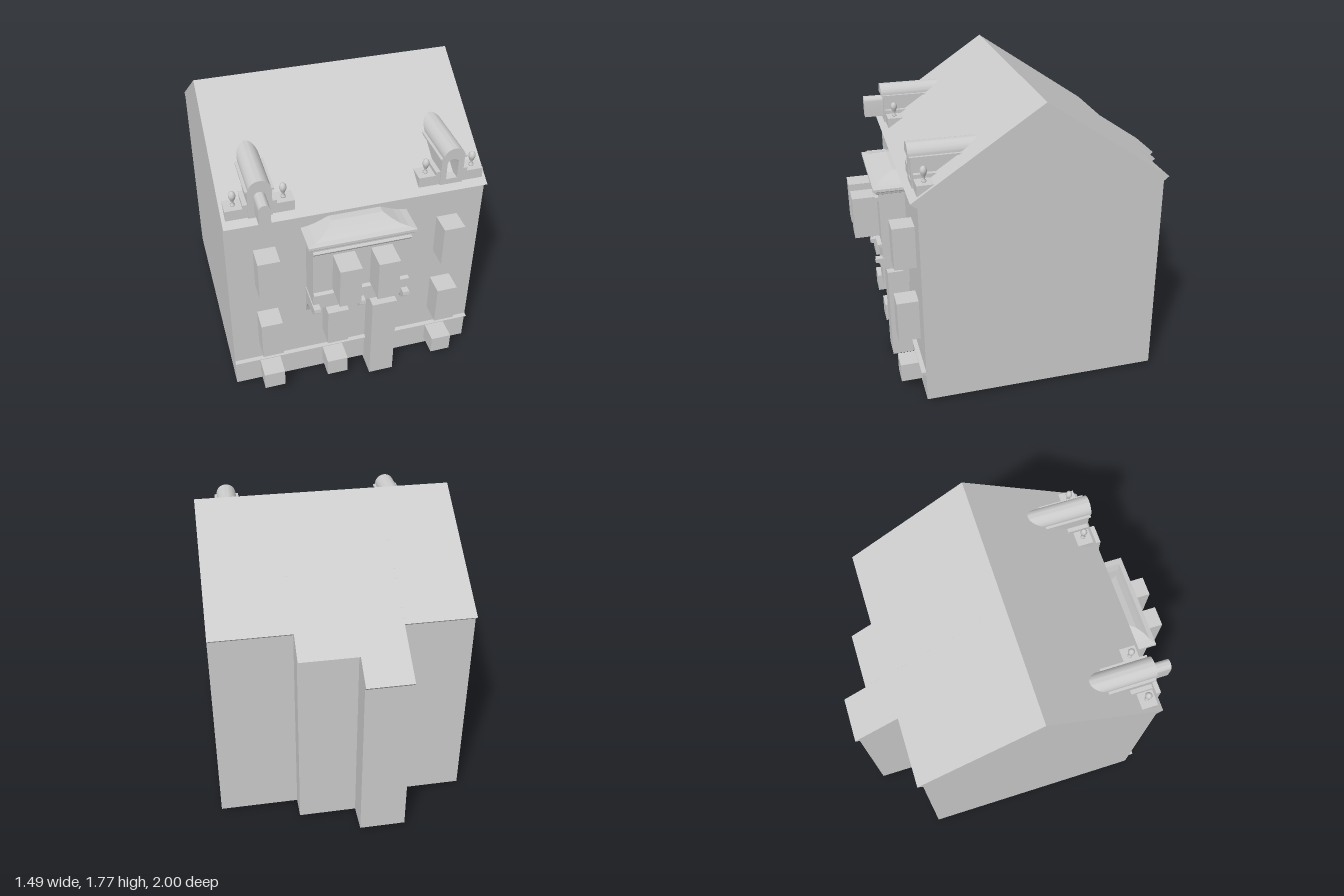
import * as THREE from 'three';
import { toCreasedNormals } from 'three/addons/utils/BufferGeometryUtils.js';

const stone = new THREE.MeshStandardMaterial({ color: 0xcccccc });
stone.name = 'lightGreyStone';

const WALL = 0.706;

function add(parent, name, geometry) {
  const mesh = new THREE.Mesh(geometry, stone);
  mesh.name = name;
  parent.add(mesh);
  return mesh;
}

// Box given by its limits
function block(parent, name, x0, x1, y0, y1, z0, z1) {
  const m = add(parent, name, new THREE.BoxGeometry(x1 - x0, y1 - y0, z1 - z0));
  m.position.set((x0 + x1) / 2, (y0 + y1) / 2, (z0 + z1) / 2);
  return m;
}

// Side profile of [z, y] points, extruded across x
function sideProfile(parent, name, points, x0, x1) {
  const shape = new THREE.Shape(points.map(([z, y]) => new THREE.Vector2(z, y)));
  const g = new THREE.ExtrudeGeometry(shape, { depth: x1 - x0, bevelEnabled: false });
  g.rotateY(-Math.PI / 2).translate(x1, 0, 0);
  return add(parent, name, g);
}

// Front outline extruded along z
function frontProfile(parent, name, shape, z0, z1) {
  const g = new THREE.ExtrudeGeometry(shape, { depth: z1 - z0, bevelEnabled: false, curveSegments: 20 });
  g.translate(0, 0, z0);
  return add(parent, name, toCreasedNormals(g, 0.5));
}

// Thin moulding with a slanted underside
function moulding(parent, name, y0, y1, z, out, x0, x1) {
  sideProfile(parent, name, [[z - 0.02, y0], [z, y0], [z + out, y1], [z + out, y1 + 0.004], [z - 0.02, y1 + 0.008]], x0, x1);
}

// Stacked rectangles [x0, x1, frontZ, y] joined into one flat-faced solid
function rectLoft(sections, backZ) {
  const pos = [];
  const ring = ([x0, x1, z, y]) => [[x0, y, z], [x1, y, z], [x1, y, backZ], [x0, y, backZ]];
  const quad = (a, b, c, d) => pos.push(...a, ...b, ...c, ...a, ...c, ...d);
  const rings = sections.map(ring);
  for (let i = 0; i + 1 < rings.length; i++) {
    for (let k = 0; k < 4; k++) {
      const n = (k + 1) % 4;
      quad(rings[i][k], rings[i][n], rings[i + 1][n], rings[i + 1][k]);
    }
  }
  quad(...rings[0].slice().reverse());
  quad(...rings[rings.length - 1]);
  const g = new THREE.BufferGeometry();
  g.setAttribute('position', new THREE.Float32BufferAttribute(pos, 3));
  g.computeVertexNormals();
  return g;
}

// Round-headed opening outline
function archOutline(Type) {
  const s = new Type();
  s.moveTo(-0.032, 1.345);
  s.lineTo(0.032, 1.345);
  s.lineTo(0.032, 1.443);
  s.absarc(0, 1.443, 0.032, 0, Math.PI, false);
  s.closePath();
  return s;
}

function rectShape(w, y0, y1) {
  return new THREE.Shape([[-w, y0], [w, y0], [w, y1], [-w, y1]].map(p => new THREE.Vector2(...p)));
}

function makeDormer(x, recessed) {
  const d = new THREE.Group();
  d.name = recessed ? 'leftDormer' : 'rightDormer';
  d.position.x = x;

  // Parapet and stepped plinth
  block(d, 'dormerParapet', -0.188, 0.188, 1.305, 1.375, 0.6, 0.703);
  block(d, 'dormerPlinth', -0.092, 0.092, 1.31, 1.397, 0.55, 0.703);

  // Body, with either a sunken or a projecting arched window
  const face = rectShape(0.066, 1.31, 1.483);
  if (recessed) {
    face.holes.push(archOutline(THREE.Path));
    frontProfile(d, 'dormerFront', face, 0.59, 0.71);
    frontProfile(d, 'dormerBody', rectShape(0.066, 1.31, 1.483), 0.4, 0.59);
    // open the plinth and parapet behind the sunken window
    d.children.filter(c => /Parapet|Plinth/.test(c.name)).forEach(c => d.remove(c));
    for (const s of [-1, 1]) {
      const a = s * 0.066, b = s * 0.188, c = s * 0.092;
      block(d, 'dormerParapet', Math.min(a, b), Math.max(a, b), 1.305, 1.375, 0.6, 0.703);
      block(d, 'dormerPlinth', Math.min(a, c), Math.max(a, c), 1.31, 1.397, 0.55, 0.703);
    }
  } else {
    frontProfile(d, 'dormerBody', face, 0.4, 0.71);
    frontProfile(d, 'dormerWindow', archOutline(THREE.Shape), 0.7, 0.83);
  }

  // Eave slab and barrel roof
  block(d, 'dormerEave', -0.078, 0.078, 1.48, 1.49, 0.42, 0.715);
  const vault = new THREE.Shape();
  vault.moveTo(-0.062, 1.485);
  vault.lineTo(0.062, 1.485);
  vault.lineTo(0.062, 1.49);
  vault.absarc(0, 1.49, 0.062, 0, Math.PI, false);
  vault.closePath();
  frontProfile(d, 'dormerBarrelRoof', vault, 0.3, 0.722);

  // Ball finials
  const profile = [[0, 0], [0.014, 0], [0.014, 0.008], [0.006, 0.016], [0.008, 0.03], [0.014, 0.042], [0.019, 0.055],
    [0.02, 0.066], [0.016, 0.08], [0.008, 0.088], [0, 0.091]].map(p => new THREE.Vector2(...p));
  for (const s of [-1, 1]) {
    add(d, 'finial', new THREE.LatheGeometry(profile, 16)).position.set(s * 0.136, 1.373, 0.655);
  }
  return d;
}

export function createModel() {
  const house = new THREE.Group();
  house.name = 'townhouse';

  // Gabled body in strips across x: [x0, x1, back eave z, back eave y, back wall z]
  const strips = [
    [-0.745, -0.33, -0.716, 1.275, -0.685],
    [-0.33, -0.06, -1.0, 1.08, -0.975],
    [-0.06, 0.28, -0.852, 1.182, -0.815],
    [0.28, 0.745, -0.716, 1.275, -0.685],
  ];
  for (const [x0, x1, ez, ey, wz] of strips) {
    sideProfile(house, 'houseBody', [[WALL, 0.025], [WALL, 1.255], [0.744, 1.285], [0.01, 1.772],
      [ez, ey], [wz, ey - 0.025], [wz, 0.025]], x0, x1);
  }

  // Base string course
  moulding(house, 'baseCourse', 0.19, 0.213, WALL, 0.026, -0.745, 0.745);

  // Projecting windows and door
  for (const [x0, x1] of [[-0.592, -0.468], [0.475, 0.598]]) {
    block(house, 'upperWindow', x0, x1, 0.825, 1.08, 0.69, 0.832);
  }
  for (const [x0, x1] of [[-0.592, -0.468], [-0.2, -0.075], [0.475, 0.598]]) {
    block(house, 'lowerWindow', x0, x1, 0.353, 0.605, 0.69, 0.832);
    block(house, 'basementWindow', x0, x1, 0.07, 0.185, 0.69, 0.832);
  }
  block(house, 'door', 0.07, 0.22, 0.003, 0.597, 0.67, 0.832);

  // Bay window
  const bay = new THREE.Group();
  bay.name = 'bayWindow';
  house.add(bay);
  const front = 0.856;
  block(bay, 'bayBody', -0.295, 0.262, 0.69, 1.145, 0.69, front);
  moulding(bay, 'bayLowerBand', 0.79, 0.813, front, 0.026, -0.295, 0.262);
  moulding(bay, 'bayUpperBand', 1.095, 1.118, front, 0.02, -0.295, 0.262);
  for (const [x0, x1] of [[-0.183, -0.06], [0.034, 0.155]]) {
    block(bay, 'bayPane', x0, x1, 0.825, 1.08, 0.84, 1.0);
  }
  // Cornice and concave roof
  add(bay, 'bayRoof', rectLoft([
    [-0.295, 0.262, 0.857, 1.14], [-0.308, 0.273, 0.87, 1.146], [-0.312, 0.276, 0.874, 1.158],
    [-0.325, 0.286, 0.887, 1.165], [-0.323, 0.285, 0.886, 1.18], [-0.28, 0.246, 0.858, 1.186],
    [-0.24, 0.205, 0.835, 1.198], [-0.2, 0.165, 0.8, 1.215], [-0.165, 0.13, 0.75, 1.23],
  ], 0.69));

  // Scrolled brackets
  const scroll = [[0.69, 0.725], [0.897, 0.725], [0.9, 0.702], [0.878, 0.695], [0.872, 0.668], [0.855, 0.68],
    [0.842, 0.652], [0.785, 0.645], [0.745, 0.628], [0.722, 0.59], [0.708, 0.54], [0.69, 0.54]].reverse();
  for (const x of [-0.3, -0.037, 0.225]) {
    sideProfile(bay, 'bayBracket', scroll, x, x + 0.039);
  }

  // Roof dormers
  house.add(makeDormer(-0.537, false), makeDormer(0.537, true));
  return house;
}
